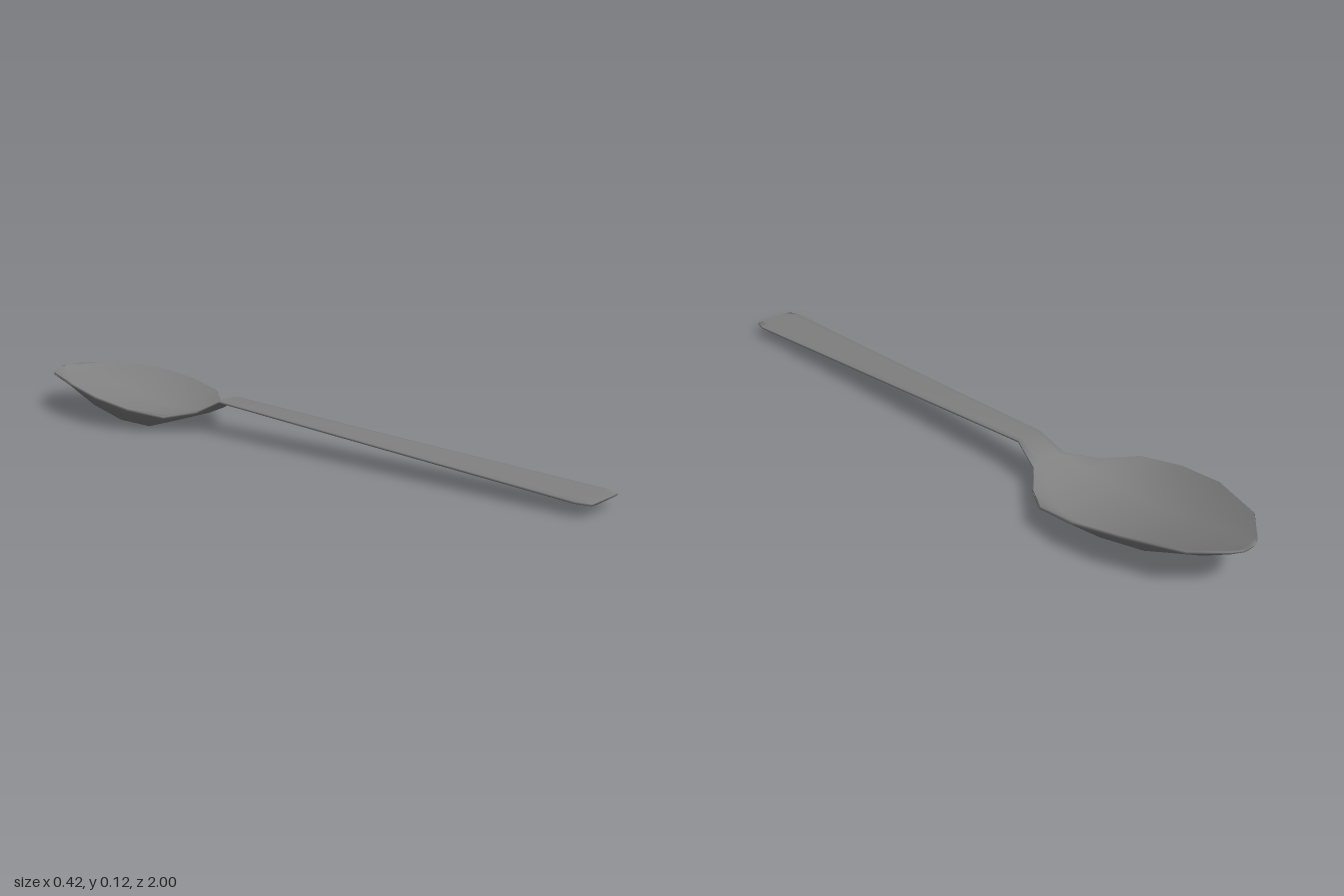
import * as THREE from 'three';

const steel = new THREE.MeshStandardMaterial({ color: 0x808080 });
steel.name = 'steel grey';

// Cross-sections from tip to handle end: z, half width, rim y, upper y, lower y, flat share
const sections = [
  [-1.0, 0.02, 0.114, 0.117, 0.111, 0.5],
  [-0.985, 0.05, 0.115, 0.113, 0.105, 0.5],
  [-0.915, 0.13, 0.116, 0.087, 0.079, 0.5],
  [-0.76, 0.19, 0.109, 0.037, 0.027, 0.5],
  [-0.62, 0.21, 0.088, 0.012, 0.001, 0.5],
  [-0.49, 0.195, 0.066, 0.011, 0.0, 0.54],
  [-0.40, 0.13, 0.044, 0.036, 0.027, 0.55],
  [-0.33, 0.06, 0.058, 0.064, 0.053, 0.6],
  [-0.25, 0.042, 0.1, 0.106, 0.097, 0.65],
  [0.35, 0.058, 0.067, 0.073, 0.064, 0.65],
  [0.96, 0.077, 0.035, 0.041, 0.031, 0.65],
  [1.0, 0.066, 0.034, 0.038, 0.03, 0.65],
];

// Ring of eight points: a thin lip at each side, a flat above and a flat below
function ring([z, w, rim, top, bottom, k]) {
  const lip = Math.min(0.003, (top - bottom) / 3);
  return [
    [w, rim - lip], [w * 0.98, rim + lip], [w * k, top], [-w * k, top],
    [-w * 0.98, rim + lip], [-w, rim - lip], [-w * k, bottom], [w * k, bottom],
  ].map(([x, y]) => [x, y, z]);
}

// Skin the rings into one closed, smooth surface
function loft(list) {
  const n = 8;
  const positions = list.flatMap(s => ring(s).flat());
  const index = [];
  for (let i = 0; i < list.length - 1; i++) {
    for (let j = 0; j < n; j++) {
      const a = i * n + j, b = i * n + (j + 1) % n;
      index.push(a, a + n, b, b, a + n, b + n);
    }
  }
  // End caps
  const last = (list.length - 1) * n;
  for (const [p, q, r, s] of [[0, 1, 4, 5], [0, 5, 6, 7], [1, 2, 3, 4]]) {
    index.push(p, q, r, p, r, s);
    index.push(last + p, last + r, last + q, last + p, last + s, last + r);
  }
  // Caps and sides must face outwards
  for (let i = 0; i < index.length; i += 3) {
    [index[i + 1], index[i + 2]] = [index[i + 2], index[i + 1]];
  }
  const g = new THREE.BufferGeometry();
  g.setAttribute('position', new THREE.Float32BufferAttribute(positions, 3));
  g.setIndex(index);
  g.computeVertexNormals();
  return g;
}

export function createModel() {
  const group = new THREE.Group();
  group.name = 'spoon';
  const body = new THREE.Mesh(loft(sections), steel);
  body.name = 'bowlAndHandle';
  group.add(body);
  return group;
}
